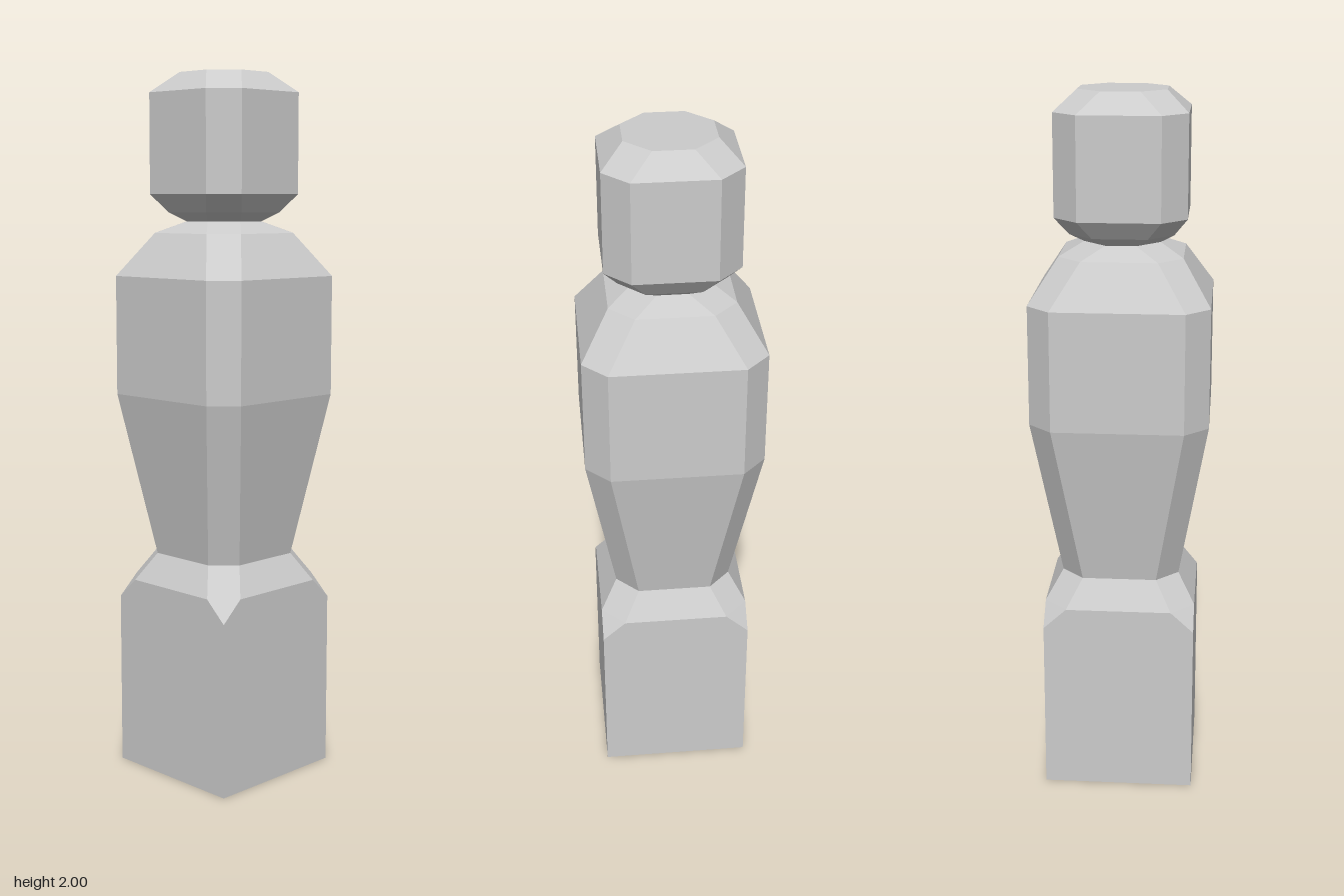
import * as THREE from 'three';

// Cross-section: square of half-width h whose flat sides reach +-f before the corner cut
function ring([y, h, f]) {
  return [[f, h], [h, f], [h, -f], [f, -h], [-f, -h], [-h, -f], [-h, f], [-f, h]]
    .map(([x, z]) => new THREE.Vector3(x, y, z));
}

// Joins a stack of cross-sections, with optional end caps
function loft(name, sections, material, { bottom = false, top = false } = {}) {
  const rings = sections.map(ring);
  const positions = [];
  const tri = (a, b, c) => {
    if (a.equals(b) || b.equals(c) || a.equals(c)) return;
    for (const p of [a, b, c]) positions.push(p.x, p.y, p.z);
  };
  for (let r = 0; r < rings.length - 1; r++) {
    const lo = rings[r], hi = rings[r + 1];
    for (let i = 0; i < 8; i++) {
      const j = (i + 1) % 8;
      tri(lo[i], lo[j], hi[j]);
      tri(lo[i], hi[j], hi[i]);
    }
  }
  const first = rings[0], last = rings[rings.length - 1];
  for (let i = 1; i < 7; i++) {
    if (bottom) tri(first[0], first[i + 1], first[i]);
    if (top) tri(last[0], last[i], last[i + 1]);
  }
  const geometry = new THREE.BufferGeometry();
  geometry.setAttribute('position', new THREE.Float32BufferAttribute(positions, 3));
  geometry.computeVertexNormals();
  const mesh = new THREE.Mesh(geometry, material);
  mesh.name = name;
  return mesh;
}

export function createModel() {
  const group = new THREE.Group();
  group.name = 'carvedPost';
  const material = new THREE.MeshStandardMaterial({ color: 0xcccccc, flatShading: true });

  // Sections are [height, half-width, half-length of the flat side]
  const waist = [0.64, 0.167, 0.105];
  const neck = [1.592, 0.105, 0.042];

  // Square foot with chamfered shoulders
  group.add(loft('base', [
    [0, 0.215, 0.215], [0.5, 0.215, 0.215], [0.56, 0.215, 0.15], waist,
  ], material, { bottom: true }));

  // Tapered trunk widening to the shoulders
  group.add(loft('body', [
    waist, [1.105, 0.248, 0.182], [1.44, 0.248, 0.182], [1.56, 0.17, 0.104], neck,
  ], material));

  // Bevelled head block
  group.add(loft('head', [
    neck, [1.617, 0.143, 0.075], [1.667, 0.18, 0.112], [1.945, 0.18, 0.112], [2, 0.12, 0.053],
  ], material, { top: true }));

  return group;
}
